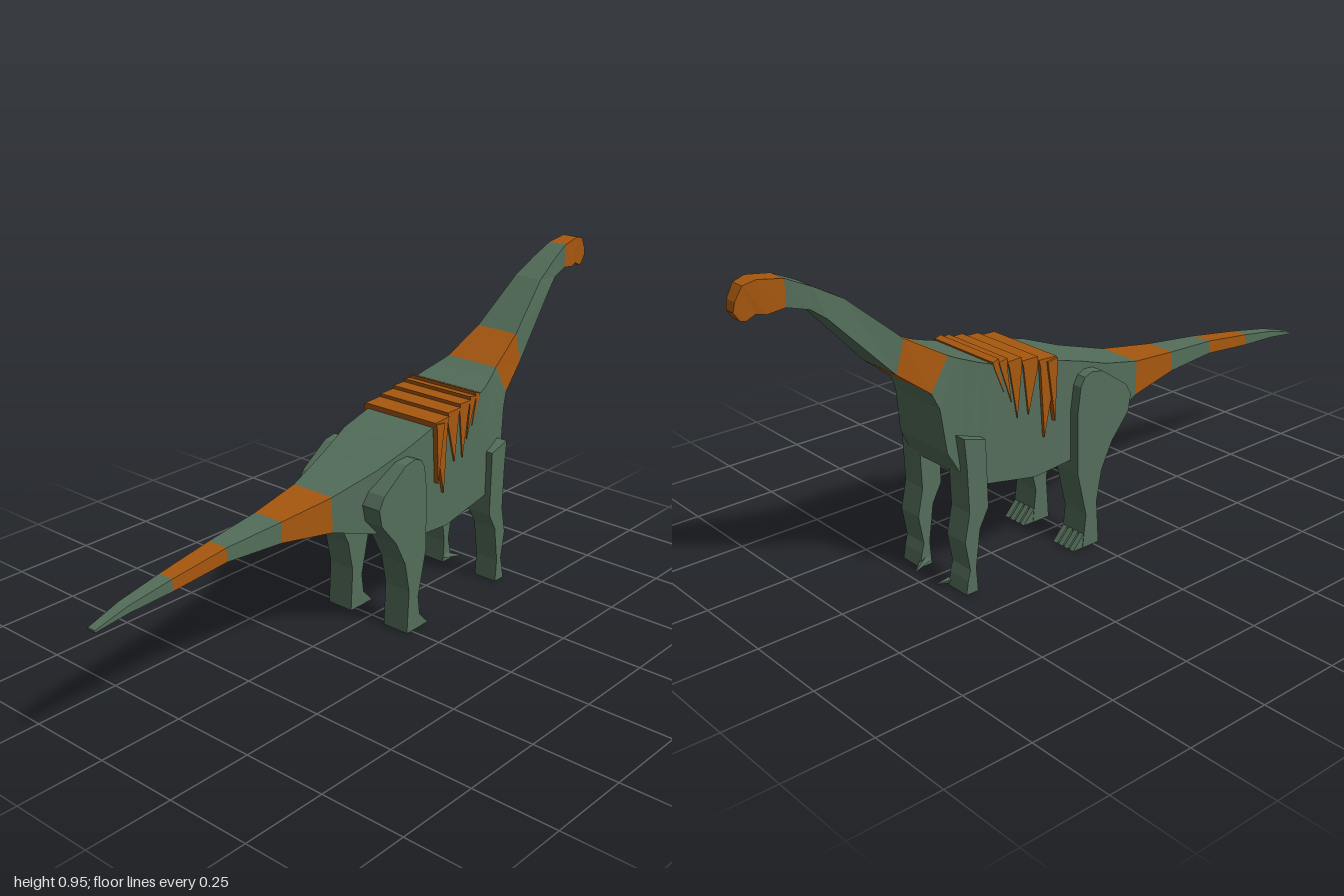
import * as THREE from 'three';

const green = new THREE.MeshStandardMaterial({ name: 'skinGreen', color: 0x546e5a, flatShading: true });
const orange = new THREE.MeshStandardMaterial({ name: 'bandOrange', color: 0xa8580f, flatShading: true });

// Rectangular sections from tail tip to snout: [top z, top y, bottom z, bottom y, half width]
const sections = [
  [1, 0.362, 1, 0.356, 0.013],
  [0.9, 0.39, 0.9, 0.37, 0.018],
  [0.765, 0.412, 0.765, 0.378, 0.024],
  [0.59, 0.436, 0.59, 0.396, 0.032],
  [0.41, 0.45, 0.41, 0.39, 0.048],
  [0.24, 0.47, 0.24, 0.367, 0.07],
  [0.09, 0.51, 0.075, 0.315, 0.1],
  [-0.02, 0.55, -0.06, 0.268, 0.12],
  [-0.12, 0.578, -0.19, 0.258, 0.12],
  [-0.33, 0.62, -0.38, 0.295, 0.12],
  [-0.37, 0.633, -0.43, 0.33, 0.113],
  [-0.41, 0.648, -0.47, 0.405, 0.101],
  [-0.43, 0.656, -0.485, 0.53, 0.095],
  [-0.45, 0.665, -0.505, 0.575, 0.088],
  [-0.57, 0.735, -0.597, 0.645, 0.07],
  [-0.72, 0.865, -0.77, 0.825, 0.046],
  [-0.8, 0.91, -0.81, 0.855, 0.037],
  [-0.87, 0.943, -0.87, 0.872, 0.03],
  [-0.94, 0.954, -0.92, 0.865, 0.026],
  [-0.975, 0.945, -0.945, 0.871, 0.021],
  [-0.995, 0.91, -0.97, 0.858, 0.018],
  [-1, 0.885, -0.985, 0.862, 0.016],
];

// Loft through a run of sections, optionally closing the first or last end
function loft(rows, capStart, capEnd) {
  const pos = [], index = [];
  for (const [zt, yt, zb, yb, w] of rows) {
    pos.push(-w, yt, zt, w, yt, zt, w, yb, zb, -w, yb, zb);
  }
  for (let i = 0; i < rows.length - 1; i++) {
    for (let k = 0; k < 4; k++) {
      const a = i * 4 + k, b = i * 4 + (k + 1) % 4;
      index.push(a, b, b + 4, a, b + 4, a + 4);
    }
  }
  if (capStart) index.push(0, 3, 2, 0, 2, 1);
  if (capEnd) {
    const o = (rows.length - 1) * 4;
    index.push(o, o + 1, o + 2, o, o + 2, o + 3);
  }
  const indexed = new THREE.BufferGeometry();
  indexed.setAttribute('position', new THREE.Float32BufferAttribute(pos, 3));
  indexed.setIndex(index);
  const g = indexed.toNonIndexed();
  g.computeVertexNormals();
  return g;
}

// Side profile given as [z, y] points, extruded from x0 to x1
function slab(points, x0, x1) {
  const shape = new THREE.Shape(points.map(([z, y]) => new THREE.Vector2(z, y)));
  const g = new THREE.ExtrudeGeometry(shape, { depth: x1 - x0, bevelEnabled: false });
  return g.rotateY(-Math.PI / 2).translate(x1, 0, 0);
}

export function createModel() {
  const model = new THREE.Group();
  model.name = 'longNeckedDinosaur';
  const add = (parent, name, geometry, material) => {
    const mesh = new THREE.Mesh(geometry, material);
    mesh.name = name;
    parent.add(mesh);
    return mesh;
  };

  // Tail, body, neck and head with alternating colour bands
  const last = sections.length - 1;
  const parts = [
    ['tailTip', 0, 2, green], ['outerTailBand', 2, 3, orange],
    ['middleTail', 3, 4, green], ['innerTailBand', 4, 5, orange],
    ['body', 5, 13, green], ['neckBand', 13, 14, orange],
    ['neck', 14, 17, green], ['head', 17, last, orange],
  ];
  for (const [name, from, to, material] of parts) {
    add(model, name, loft(sections.slice(from, to + 1), from === 0, to === last), material);
  }

  // Back stripes running down both flanks as spikes: [rear z, front z, tip z, tip y, half width]
  const stripes = [
    [-0.12, -0.182, -0.163, 0.37, 0.129],
    [-0.182, -0.237, -0.215, 0.45, 0.125],
    [-0.237, -0.284, -0.253, 0.45, 0.124],
    [-0.284, -0.312, -0.272, 0.5, 0.123],
    [-0.312, -0.332, -0.297, 0.535, 0.122],
  ];
  const backY = z => 0.575 - (z + 0.12) * 0.2;
  const saddle = new THREE.Group();
  saddle.name = 'backStripes';
  model.add(saddle);
  for (const [z0, z1, zt, yt, w] of stripes) {
    const points = [[z0, backY(z0) + 0.018], [z0, backY(z0) - 0.012], [zt, yt],
      [z1 + 0.006, backY(z1) - 0.012], [z1, backY(z1) + 0.008]];
    add(saddle, 'stripe', slab(points, -w, w), orange);
  }
  // Short flared spike at the rear of the stripes
  add(saddle, 'rearStripe',
    slab([[-0.12, 0.59], [-0.13, 0.41], [-0.155, 0.585]], -0.135, 0.135), orange);

  // Legs
  const hindProfile = [[0.02, 0], [-0.04, 0], [-0.035, 0.045], [-0.028, 0.1], [-0.06, 0.235],
    [-0.06, 0.42], [-0.05, 0.49], [-0.035, 0.515], [-0.01, 0.525], [0.03, 0.518],
    [0.12, 0.455], [0.14, 0.42], [0.13, 0.37], [0.07, 0.3], [0.03, 0.222], [0.012, 0.13]];
  const foreProfile = [[-0.41, 0], [-0.45, 0], [-0.443, 0.04], [-0.435, 0.07], [-0.45, 0.155],
    [-0.433, 0.235], [-0.438, 0.37], [-0.445, 0.45], [-0.375, 0.43], [-0.37, 0.235],
    [-0.4, 0.18], [-0.415, 0.07]];
  const toeProfile = [[-0.03, 0], [-0.075, 0], [-0.034, 0.043]];
  const mirrored = (side, points, x0, x1) =>
    side > 0 ? slab(points, x0, x1) : slab(points, -x1, -x0);

  for (const side of [1, -1]) {
    const label = side > 0 ? 'left' : 'right';
    const hind = new THREE.Group();
    hind.name = label + 'HindLeg';
    add(hind, 'leg', mirrored(side, hindProfile, 0.063, 0.15), green);
    for (let i = 0; i < 4; i++) {
      const x = 0.064 + i * 0.0225;
      add(hind, 'toe', mirrored(side, toeProfile, x, x + 0.017), green);
    }
    const fore = new THREE.Group();
    fore.name = label + 'ForeLeg';
    add(fore, 'leg', mirrored(side, foreProfile, 0.063, 0.14), green);
    // Inner claw pointing forward and inward
    const claw = add(fore, 'claw', new THREE.ConeGeometry(0.014, 0.07, 4), green);
    const dir = new THREE.Vector3(-0.028 * side, -0.014, -0.062).normalize();
    claw.quaternion.setFromUnitVectors(new THREE.Vector3(0, 1, 0), dir);
    claw.position.set(0.058 * side, 0.011, -0.453);
    model.add(hind, fore);
  }
  return model;
}
